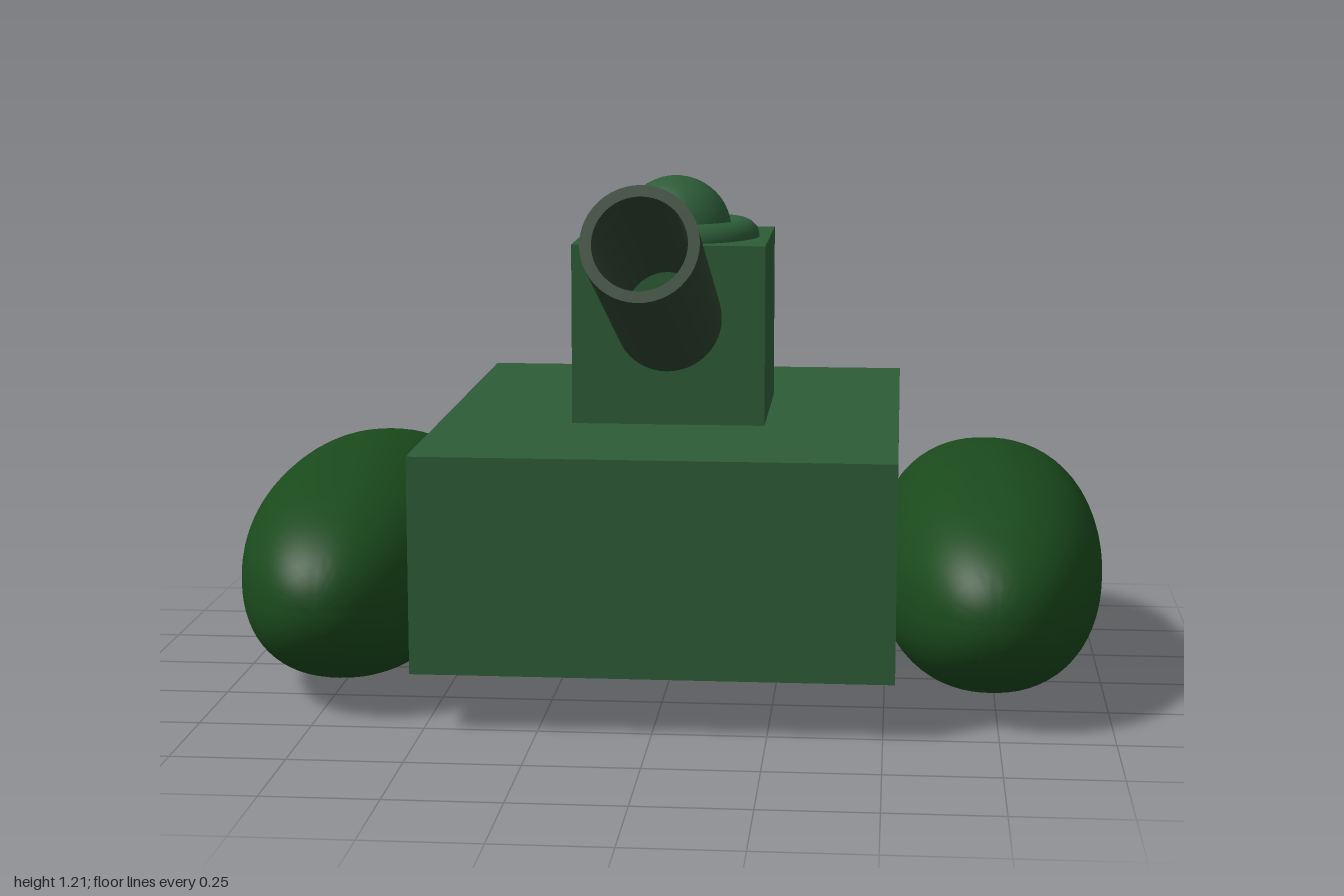
import * as THREE from 'three';
import { toCreasedNormals } from 'three/addons/utils/BufferGeometryUtils.js';

const hullGreen = new THREE.MeshStandardMaterial({ color: 0x2d5c38 });
const treadGreen = new THREE.MeshStandardMaterial({ color: 0x1a4a1c });
const barrelGreen = new THREE.MeshStandardMaterial({ color: 0x2e432f });

const CENTRE_Z = -0.13;

// Slightly squared ellipsoid with the given half sizes
function softEllipsoid(rx, ry, rz, power) {
  const geometry = new THREE.SphereGeometry(1, 64, 40).rotateX(Math.PI / 2);
  const p = geometry.attributes.position;
  const v = new THREE.Vector3();
  for (let i = 0; i < p.count; i++) {
    v.fromBufferAttribute(p, i);
    const sum = Math.abs(v.x) ** power + Math.abs(v.y) ** power + Math.abs(v.z) ** power;
    v.multiplyScalar(sum ** (-1 / power));
    p.setXYZ(i, v.x * rx, v.y * ry, v.z * rz);
  }
  return toCreasedNormals(geometry, 1);
}

export function createModel() {
  const model = new THREE.Group();
  const add = (name, geometry, material, x, y, z) => {
    const mesh = new THREE.Mesh(geometry, material);
    mesh.name = name;
    mesh.position.set(x, y, z);
    model.add(mesh);
    return mesh;
  };

  // Body and turret blocks
  add('hull', new THREE.BoxGeometry(1.05, 0.48, 1.32), hullGreen, 0, 0.37, CENTRE_Z);
  add('turret', new THREE.BoxGeometry(0.44, 0.41, 0.44), hullGreen, 0, 0.815, CENTRE_Z);

  // Hatch: ring with a dome
  add('hatchRing', new THREE.TorusGeometry(0.155, 0.04, 20, 56).rotateX(Math.PI / 2),
    hullGreen, 0, 1.02, CENTRE_Z);
  add('hatchDome', new THREE.SphereGeometry(0.13, 40, 24), hullGreen, 0, 1.03, CENTRE_Z);

  // Bulging treads on both sides
  const tread = softEllipsoid(0.263, 0.26, 0.65, 2.2);
  for (const side of [1, -1]) {
    add(side > 0 ? 'leftTread' : 'rightTread', tread, treadGreen, side * 0.737, 0.26, CENTRE_Z);
  }

  // Hollow barrel, raised 20 degrees
  const half = 0.355, outer = 0.122, bore = 0.098;
  const profile = [[bore, half], [bore, -half], [outer, -half], [outer, half], [bore, half]]
    .map(([r, y]) => new THREE.Vector2(r, y));
  const barrel = add('barrel', toCreasedNormals(new THREE.LatheGeometry(profile, 48), 0.6),
    barrelGreen, 0, 0.974, 0.416);
  barrel.rotation.x = THREE.MathUtils.degToRad(70);

  return model;
}
